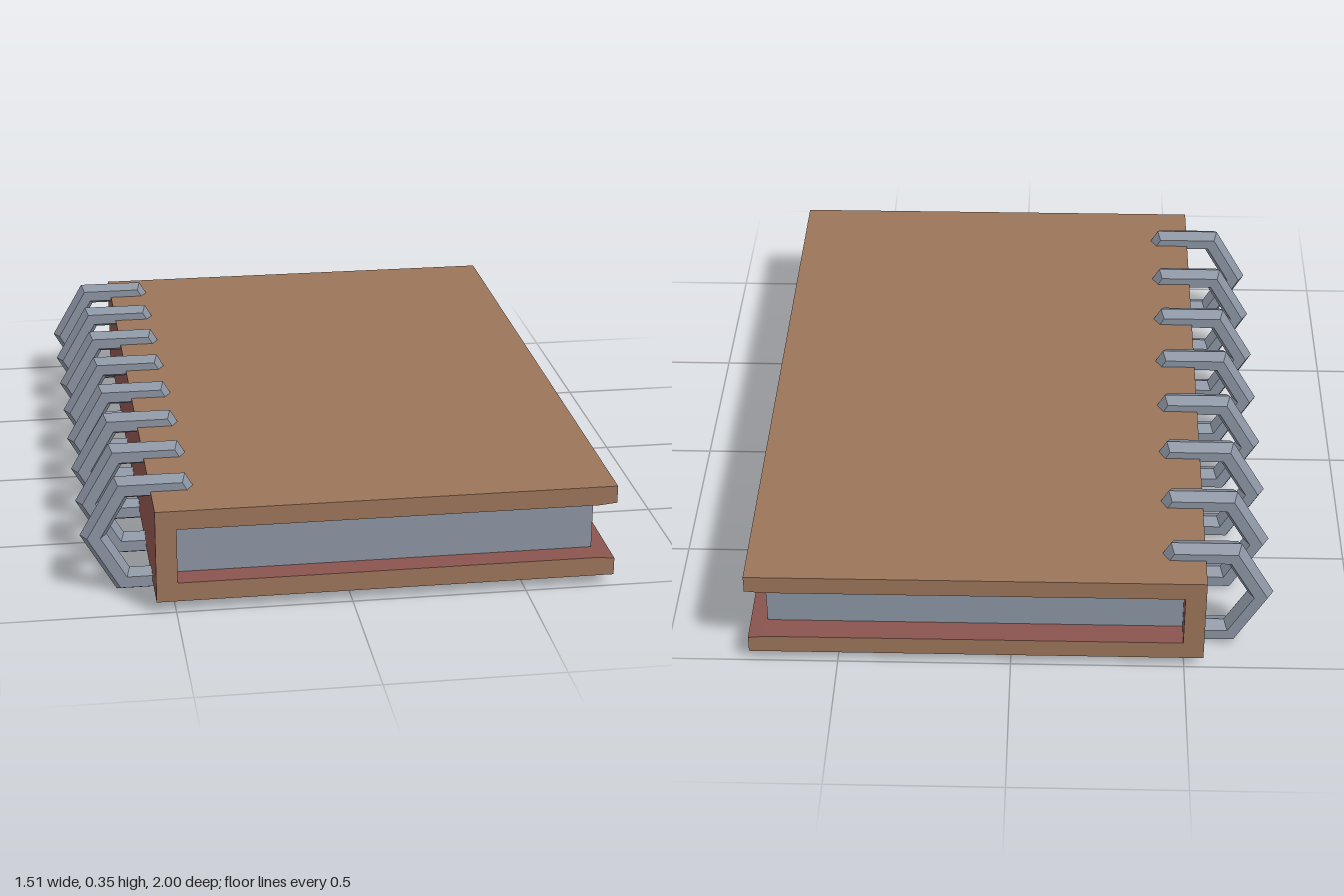
import * as THREE from 'three';

const mat = (name, color) => {
  const m = new THREE.MeshStandardMaterial({ color });
  m.name = name;
  return m;
};

export function createModel() {
  const brown = mat('brown cover', 0x9b745a);
  const red = mat('red lining', 0x8a544e);
  const grey = mat('grey', 0x8b94a2);
  const book = new THREE.Group();
  book.name = 'ringBinder';
  const MID = 0.1725; // mid height of the cover

  const add = (name, geometry, material, x, y, z) => {
    const mesh = new THREE.Mesh(geometry, material);
    mesh.name = name;
    mesh.position.set(x, y, z);
    book.add(mesh);
    return mesh;
  };

  // Cover boards: red inside and at the spine, slightly thinner at the open edge
  for (const s of [1, -1]) {
    const geo = new THREE.BoxGeometry(1.31, 0.056, 2, 26, 1, 1);
    const p = geo.attributes.position;
    for (let i = 0; i < p.count; i++) {
      if (p.getX(i) > 0.65 && p.getY(i) * s < 0) p.setY(i, p.getY(i) + s * 0.005);
    }
    geo.computeVertexNormals();
    const faces = s > 0
      ? [brown, red, brown, red, brown, brown]
      : [brown, red, red, brown, brown, brown];
    add(s > 0 ? 'topCover' : 'bottomCover', geo, faces, 0.1, MID + s * 0.1095, 0);
  }

  // Spine between the boards
  add('spine', new THREE.BoxGeometry(0.06, 0.163, 2),
    [red, red, brown, brown, brown, brown], -0.525, MID, 0);

  // Page block
  add('pages', new THREE.BoxGeometry(1.2, 0.162, 1.854), grey, 0.105, MID, 0);

  // Eight hexagonal binding rings through the spine
  const ring = new THREE.TorusGeometry(0.163, 0.038, 6, 6).toNonIndexed();
  ring.computeVertexNormals();
  for (let i = 0; i < 8; i++) {
    add('ring' + (i + 1), ring, grey, -0.555, 0.175, -0.863 + i * 0.241);
  }
  return book;
}
